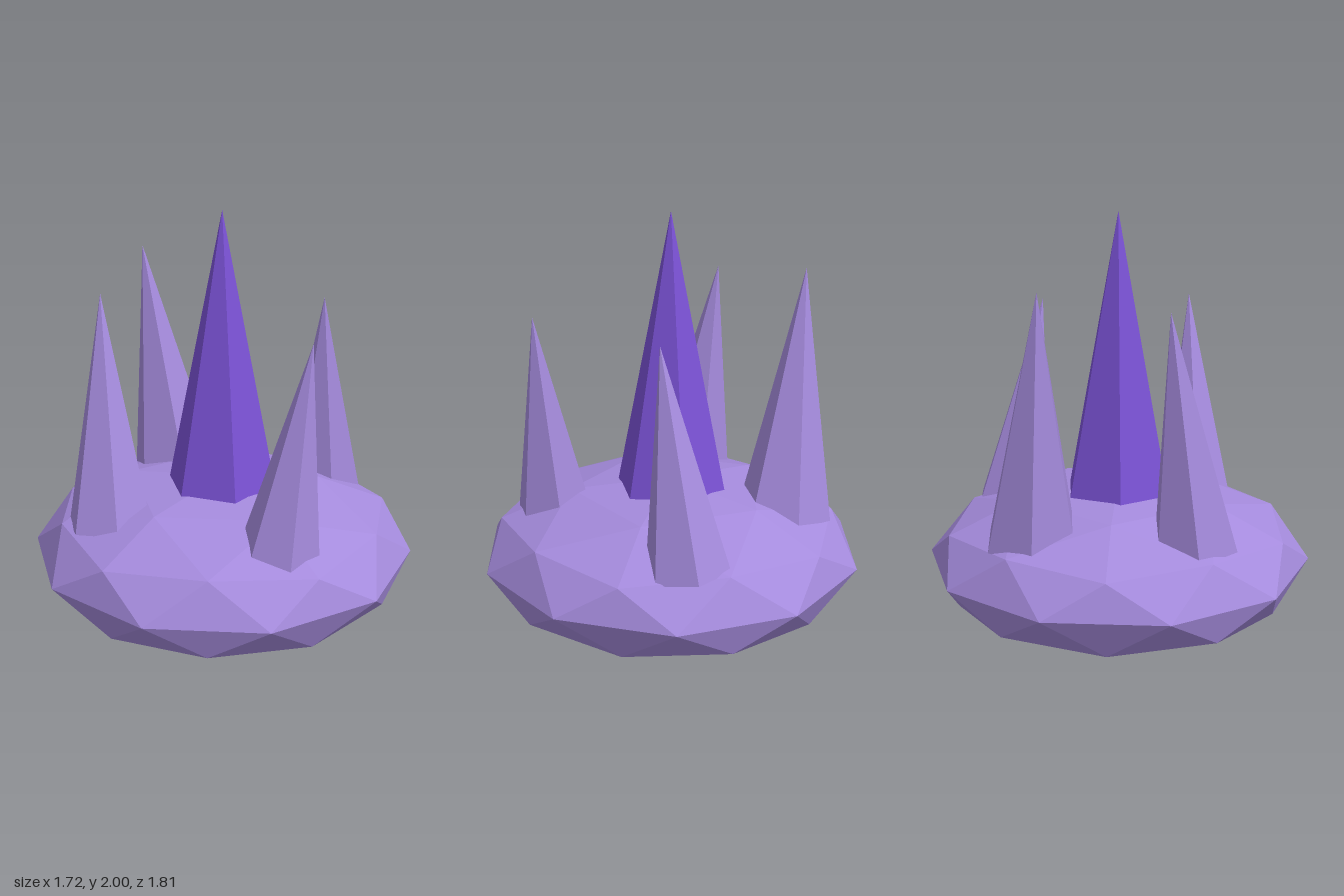
import * as THREE from 'three';

const lavender = new THREE.MeshStandardMaterial({ color: 0xa58bdd });
lavender.name = 'lavender';
const violet = new THREE.MeshStandardMaterial({ color: 0x7b52d6 });
violet.name = 'violet';

// Give every face its own normal for a low-poly look
function faceted(geometry) {
  const flat = geometry.index ? geometry.toNonIndexed() : geometry;
  flat.computeVertexNormals();
  return flat;
}

// Squashed icosphere with a vertex at each pole
function createRock() {
  const geometry = new THREE.IcosahedronGeometry(1, 1);
  geometry.rotateZ(-Math.atan(2 / (1 + Math.sqrt(5))));
  geometry.scale(0.905, 0.362, 0.905);
  geometry.translate(0, 0.362, 0);
  const rock = new THREE.Mesh(faceted(geometry), lavender);
  rock.name = 'rockBase';
  return rock;
}

// Six-sided spike from its foot on the rock to its tip, sunk a little below the surface
function createCrystal({ name, tip, foot, radius, material }) {
  const sink = 1.08;
  const top = new THREE.Vector3(...tip);
  const axis = top.clone().sub(new THREE.Vector3(...foot));
  const height = axis.length() * sink;
  axis.normalize();

  const geometry = new THREE.ConeGeometry(radius * sink, height, 6);
  geometry.translate(0, -height / 2, 0);
  const crystal = new THREE.Mesh(faceted(geometry), material);
  crystal.position.copy(top);
  crystal.quaternion.setFromUnitVectors(new THREE.Vector3(0, 1, 0), axis);
  crystal.name = name;
  return crystal;
}

export function createModel() {
  const model = new THREE.Group();
  model.name = 'crystalCluster';
  model.add(createRock());

  const crystals = [
    { name: 'centerCrystal', tip: [0, 2, 0], foot: [0, 0.7, 0], radius: 0.26, material: violet },
    { name: 'rightCrystal', tip: [-0.545, 1.63, -0.08], foot: [-0.55, 0.63, 0.05], radius: 0.19, material: lavender },
    { name: 'backCrystal', tip: [-0.26, 1.72, -0.57], foot: [-0.12, 0.64, -0.53], radius: 0.208, material: lavender },
    { name: 'leftCrystal', tip: [0.52, 1.535, -0.105], foot: [0.565, 0.6, -0.235], radius: 0.183, material: lavender },
    { name: 'frontCrystal', tip: [0.26, 1.535, 0.575], foot: [0.143, 0.62, 0.54], radius: 0.174, material: lavender },
  ];
  for (const crystal of crystals) model.add(createCrystal(crystal));
  return model;
}
